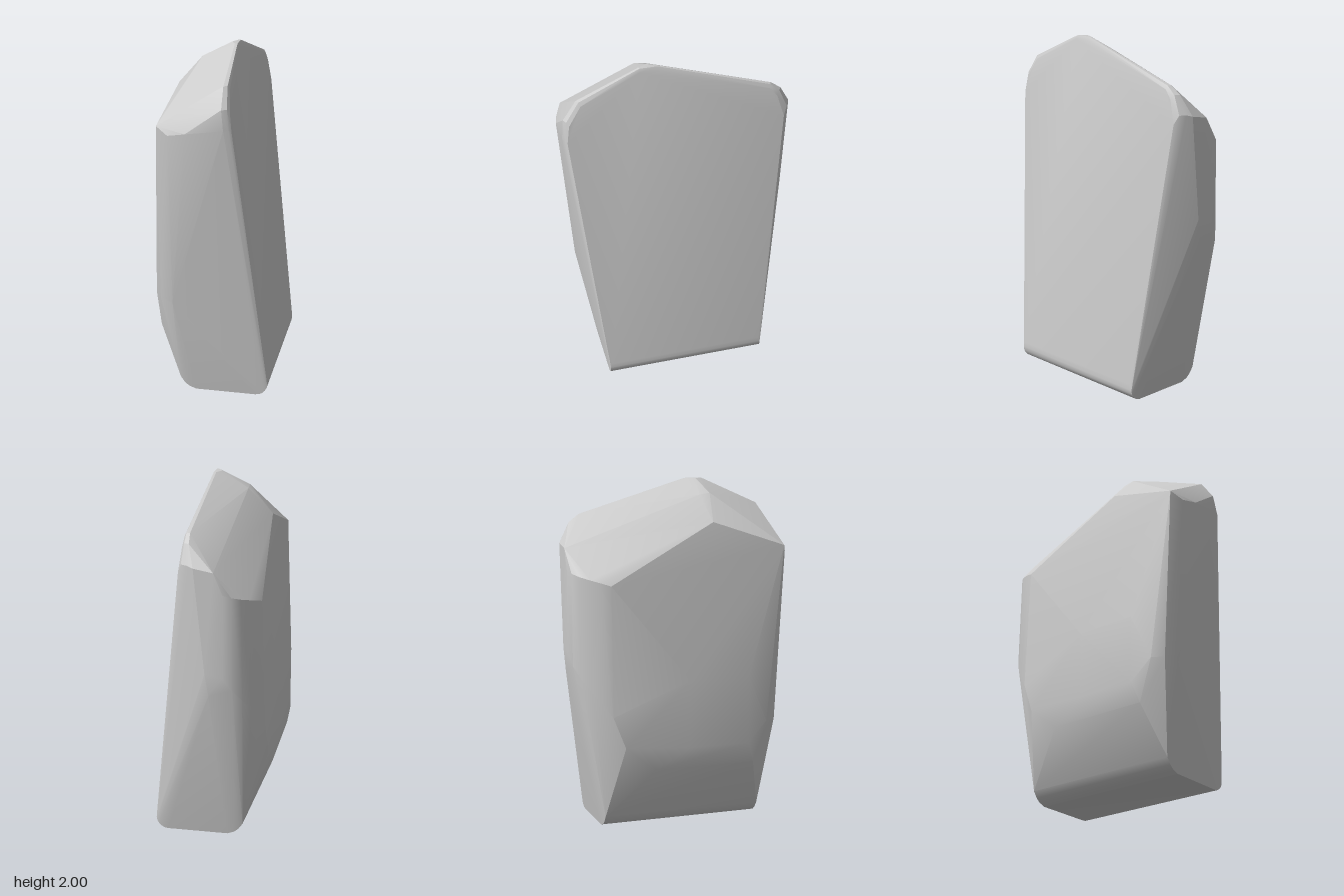
import * as THREE from 'three';
import { ConvexGeometry } from 'three/addons/geometries/ConvexGeometry.js';
import { toCreasedNormals } from 'three/addons/utils/BufferGeometryUtils.js';

// x of the leaning flat side at height y
const lean = (y) => 0.341 - 0.118 * y;

export function createModel() {
  const points = [];
  const add = (x, y, z) => points.push(new THREE.Vector3(x, y, z));

  // Outline of the leaning flat side as [z, y], [z, y] just behind its softened rim, and rim depth
  const outline = [
    [0.475, 0.1, 0.48, 0.1, 0.01],
    [0.635, 1.62, 0.657, 1.63, 0.04],
    [0.62, 1.72, 0.645, 1.74, 0.04],
    [0.55, 1.83, 0.57, 1.85, 0.03],
    [0.22, 1.98, 0.22, 2.0, 0.02],
    [0.12, 1.98, 0.12, 2.0, 0.02],
    [-0.52, 1.78, -0.53, 1.8, 0.03],
    [-0.56, 1.73, -0.59, 1.755, 0.04],
    [-0.6, 1.6, -0.64, 1.65, 0.05],
    [-0.455, 0.1, -0.462, 0.1, 0.01],
  ];
  for (const [z, y, rimZ, rimY, depth] of outline) {
    add(lean(y), y, z);
    add(lean(rimY) - depth * 0.3, rimY, z * 0.4 + rimZ * 0.6 - Math.sign(z) * 0.003);
    add(lean(rimY) - depth, rimY, rimZ);
  }

  // Rounded bottom edges, swept from front to back
  const bottom = [[-0.18, 0.07], [-0.155, 0.035], [-0.13, 0.015], [-0.09, 0]];
  for (let i = 0; i <= 5; i++) {
    const a = (i / 5) * Math.PI / 2;
    bottom.push([0.26 + 0.07 * Math.sin(a), 0.07 * (1 - Math.cos(a))]);
  }
  for (const [x, y] of bottom) {
    add(x, y, 0.48);
    add(x, y, -0.465);
  }

  // Rounded upright corner at the back
  const corner = [[-0.1, -0.655], [-0.145, -0.64], [-0.19, -0.605], [-0.23, -0.555], [-0.26, -0.5], [-0.28, -0.45]];
  corner.forEach(([x, z], i) => {
    add(x, 1.5 - 0.016 * i, z);
    add(x - 0.005 * i, 1.03 - 0.07 * i, z);
  });
  add(-0.05, 1.62, -0.655);
  add(0.06, 1.64, -0.655);
  add(0.0, 1.05, -0.655);
  add(-0.02, 0.92, -0.648);

  // Bulging side opposite the lean
  for (const z of [0, 0.36]) {
    add(-0.335, 0.87, z);
    add(-0.335, 0.48, z);
  }
  add(-0.315, 0.5, -0.38);
  add(-0.31, 0.36, 0.4);
  add(-0.31, 0.36, -0.2);
  add(-0.315, 0.6, 0.48);
  add(-0.275, 0.6, 0.545);
  add(-0.2, 0.58, 0.575);

  // Front shoulder
  add(-0.27, 1.62, 0.6);
  add(-0.2, 1.58, 0.635);
  add(-0.1, 1.6, 0.655);

  // Ridge falling away from the peak
  add(-0.24, 1.76, 0.17);
  add(-0.1, 1.92, 0.2);
  add(-0.1, 1.91, 0.14);
  add(0.06, 2.0, 0.17);

  const material = new THREE.MeshStandardMaterial({ color: 0xcccccc });
  const stone = new THREE.Mesh(toCreasedNormals(new ConvexGeometry(points), 0.35), material);
  stone.name = 'standingStone';

  const group = new THREE.Group();
  group.name = 'stone';
  group.add(stone);
  return group;
}
